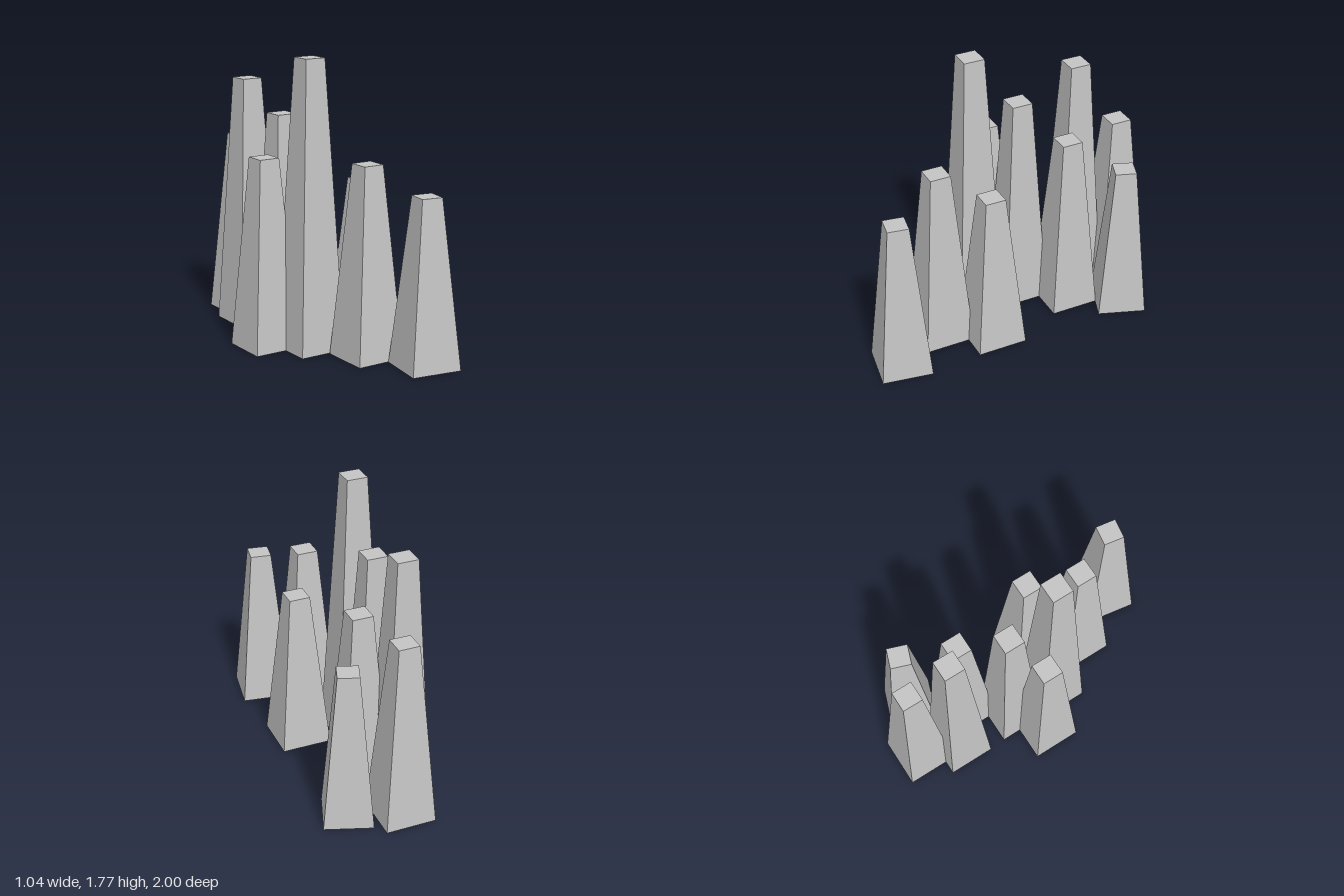
import * as THREE from 'three';

// Each tower: x, z, height, base width, turn in degrees
const TOWERS = [
  [0.045, -0.826, 1.17, 0.314, 7.3],
  [0.325, -0.683, 0.99, 0.298, 27],
  [-0.082, -0.595, 1.57, 0.294, 7.3],
  [0.098, -0.417, 1.17, 0.305, 7.3],
  [-0.128, -0.202, 1.40, 0.288, 7.3],
  [-0.35, -0.10, 1.17, 0.302, 7.3],
  [-0.172, 0.108, 1.77, 0.302, 7.3],
  [0.177, 0.192, 1.02, 0.314, 7.3],
  [-0.02, 0.447, 1.17, 0.314, 7.3],
  [0.112, 0.804, 1.02, 0.312, 16.5],
];
const TOP_WIDTH = 0.13;

// Square tapered block standing on y = 0
function taperedBlock(base, top, height) {
  const g = new THREE.CylinderGeometry(top * Math.SQRT1_2, base * Math.SQRT1_2, height, 4);
  g.rotateY(Math.PI / 4);
  g.translate(0, height / 2, 0);
  const flat = g.toNonIndexed();
  flat.computeVertexNormals();
  return flat;
}

export function createModel() {
  const model = new THREE.Group();
  model.name = 'towerCluster';
  const stone = new THREE.MeshStandardMaterial({ color: 0xc4c4c4 });
  stone.name = 'light grey stone';

  TOWERS.forEach(([x, z, height, base, turn], i) => {
    const tower = new THREE.Mesh(taperedBlock(base, TOP_WIDTH, height), stone);
    tower.name = `tower${i + 1}`;
    tower.position.set(x, 0, z);
    tower.rotation.y = -THREE.MathUtils.degToRad(turn);
    model.add(tower);
  });
  return model;
}
